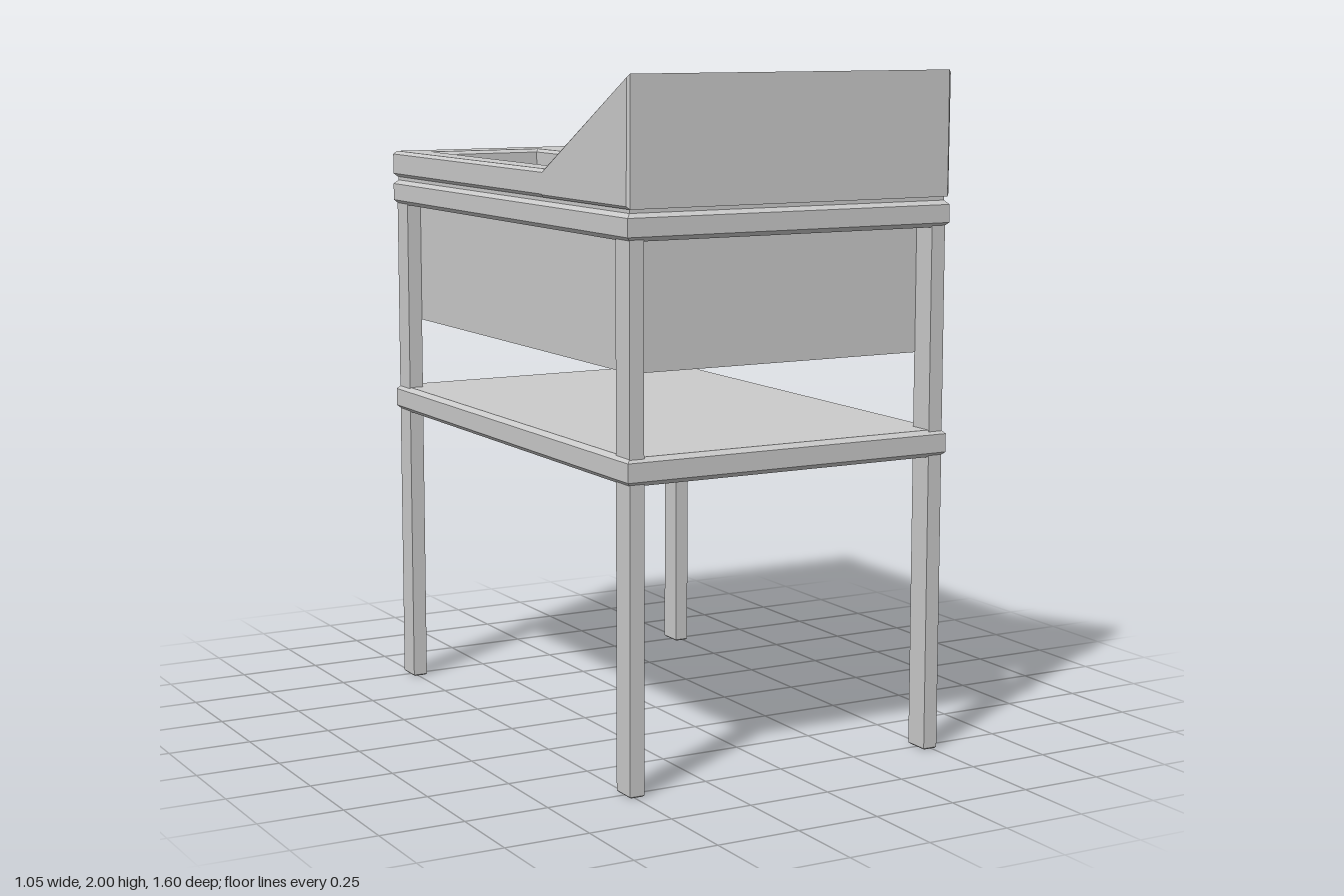
import * as THREE from 'three';

const material = new THREE.MeshStandardMaterial({ color: 0xcccccc });
const liner = new THREE.MeshStandardMaterial({ color: 0xcccccc, side: THREE.DoubleSide });

// Footprint rectangle; shape y is -z so it can be laid flat
function rect(x0, x1, z0, z1, Type = THREE.Shape) {
  return new Type([[x0, -z0], [x0, -z1], [x1, -z1], [x1, -z0]].map(p => new THREE.Vector2(...p)));
}

// Horizontal slab with chamfered edges and optional openings
function slab(outline, y0, y1, bevel, holes = []) {
  outline.holes = holes;
  const geo = new THREE.ExtrudeGeometry(outline, {
    depth: y1 - y0 - 2 * bevel, bevelEnabled: bevel > 0, bevelThickness: bevel,
    bevelSize: bevel, bevelOffset: -bevel, bevelSegments: 1,
  });
  return geo.rotateX(-Math.PI / 2).translate(0, y0 + bevel, 0);
}

export function createModel() {
  const group = new THREE.Group();
  const add = (name, geo, mat = material) => {
    const mesh = new THREE.Mesh(geo, mat);
    mesh.name = name;
    group.add(mesh);
    return mesh;
  };
  const W = 0.525, D = 0.8;

  // Legs
  for (const sx of [-1, 1]) for (const sz of [-1, 1]) {
    const leg = add('leg', slab(rect(-0.0225, 0.0225, -0.04, 0.04), 0, 1.58, 0.004));
    leg.position.set(sx * 0.493, 0, sz * 0.752);
  }

  // Lower shelf and upper frame
  add('shelf', slab(rect(-W, W, -D, D), 0.88, 0.96, 0.013));
  const inner = () => [rect(-0.46, 0.46, -0.705, 0.705, THREE.Path)];
  add('upperFrame', slab(rect(-W, W, -D, D), 1.55, 1.628, 0.013, inner()));
  add('shadowGap', slab(rect(-W + 0.012, W - 0.012, -D + 0.012, D - 0.012), 1.61, 1.66, 0, inner()));

  // Tank below the deck: walls and bottom
  add('tankWalls', slab(rect(-0.47, 0.47, -0.715, 0.715), 1.18, 1.6, 0,
    [rect(-0.455, 0.455, -0.7, 0.7, THREE.Path)]));
  add('tankBottom', slab(rect(-0.46, 0.46, -0.705, 0.705), 1.181, 1.195, 0));

  // Flat deck with two openings
  const openings = [-1, 1].map(s =>
    rect(s * 0.25 - 0.18, s * 0.25 + 0.18, -0.68, 0.26, THREE.Path));
  add('deck', slab(rect(-W, W, -D, 0.285), 1.638, 1.72, 0.01, openings));

  // Sloped control panel, a wedge extruded across the width
  const bevel = 0.008;
  const profile = new THREE.Shape([[-0.272, 1.638], [-D, 1.638], [-D, 2], [-0.28, 1.718], [-0.272, 1.718]]
    .reverse().map(p => new THREE.Vector2(...p)));
  const wedge = new THREE.ExtrudeGeometry(profile, {
    depth: 2 * (W - bevel), bevelThickness: bevel, bevelSize: bevel, bevelOffset: -bevel, bevelSegments: 1,
  });
  add('controlPanel', wedge.translate(0, 0, -(W - bevel)).rotateY(Math.PI / 2));

  // Tapered basins, open at the top
  for (const s of [-1, 1]) {
    const geo = new THREE.BoxGeometry(0.362, 0.45, 0.942);
    const pos = geo.attributes.position;
    for (let i = 0; i < pos.count; i++) {
      if (pos.getY(i) < 0) pos.setXYZ(i, pos.getX(i) * 0.82, pos.getY(i), pos.getZ(i) * 0.915);
    }
    const index = Array.from(geo.index.array);
    index.splice(12, 6); // remove the top face
    geo.setIndex(index);
    geo.computeVertexNormals();
    add('basin', geo, liner).position.set(s * 0.25, 1.425, -0.21);
  }

  // Round knobs lying on the slope
  const tilt = -Math.atan2(2 - 1.718, D - 0.28);
  for (const s of [-1, 1]) {
    const knob = add('knob', new THREE.CylinderGeometry(0.047, 0.047, 0.04, 32));
    knob.position.set(s * 0.355, 1.898, 0.598);
    knob.rotation.x = tilt;
  }
  return group;
}
